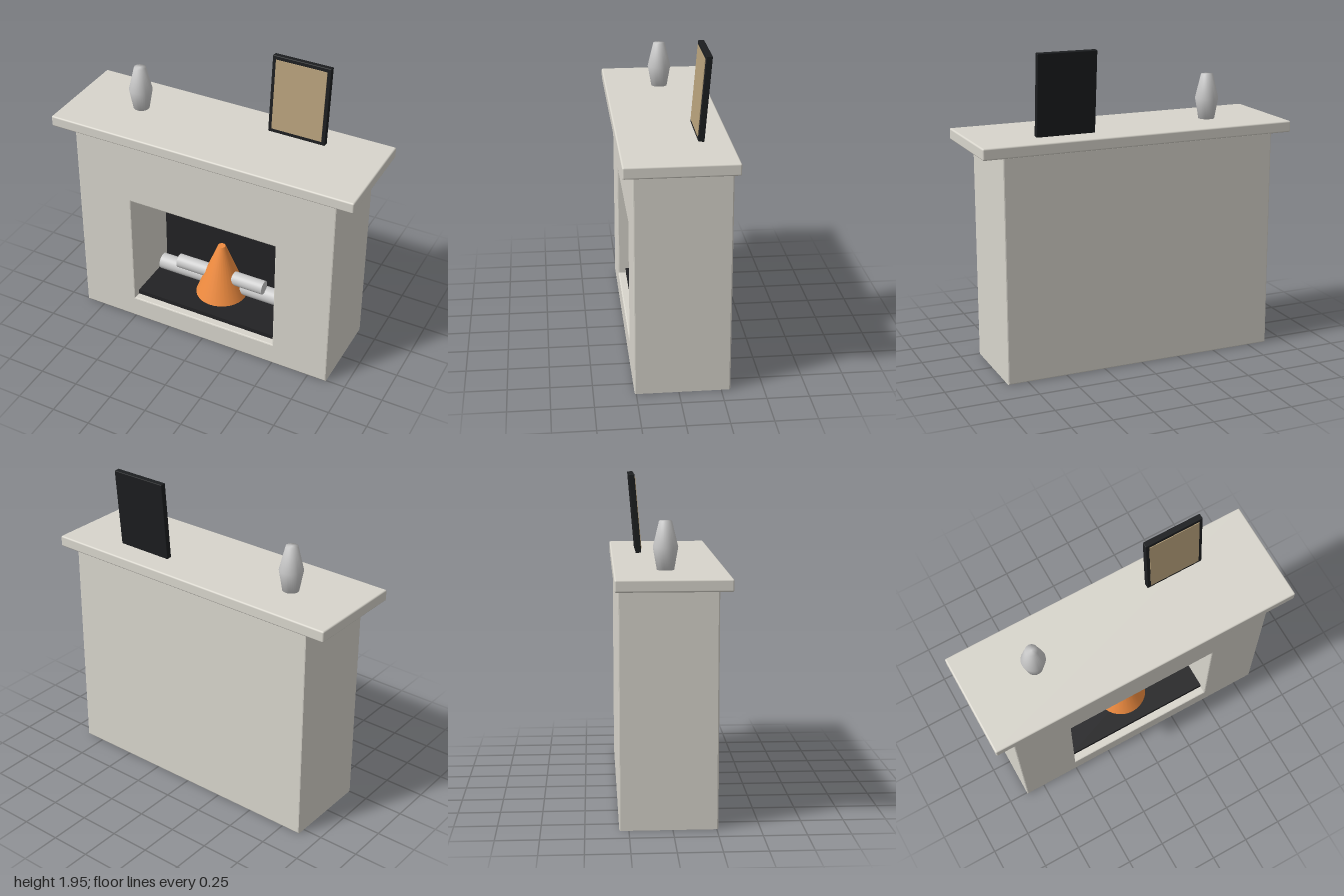
import * as THREE from 'three';
import { RoundedBoxGeometry } from 'three/addons/geometries/RoundedBoxGeometry.js';

const mat = (color) => new THREE.MeshStandardMaterial({ color });

export function createModel() {
  const group = new THREE.Group();
  const stone = mat(0xd8d5cc), grey = mat(0xcccccc), soot = mat(0x222224);
  const black = mat(0x1c1e20), canvas = mat(0xb8a27c), orange = mat(0xf08c40);

  const add = (name, geometry, material, x = 0, y = 0, z = 0, parent = group) => {
    const mesh = new THREE.Mesh(geometry, material);
    mesh.name = name;
    mesh.position.set(x, y, z);
    parent.add(mesh);
    return mesh;
  };
  const rect = (path, x, y0, y1) =>
    path.moveTo(-x, y0).lineTo(x, y0).lineTo(x, y1).lineTo(-x, y1).closePath();

  // Surround with the firebox opening, edges softly bevelled
  const b = 0.008, front = 0.26, back = -0.305, boxBack = -0.18;
  const outline = rect(new THREE.Shape(), 0.875 - b, b, 1.385 - b);
  outline.holes.push(rect(new THREE.Path(), 0.5 + b, 0.15 - b, 0.93 + b));
  add('surround', new THREE.ExtrudeGeometry(outline, {
    depth: front - back - 2 * b, bevelSize: b, bevelThickness: b, bevelSegments: 2,
  }), stone, 0, 0, back + b);

  // Rear wall closing the opening
  add('rearWall', new THREE.BoxGeometry(1 + 2 * b, 0.78 + 2 * b, boxBack - back),
    stone, 0, 0.54, (boxBack + back) / 2);

  // Firebox lining
  add('fireback', new THREE.BoxGeometry(1, 0.78, 0.01), soot, 0, 0.54, boxBack + 0.004);
  add('hearthFloor', new THREE.BoxGeometry(1, 0.03, 0.385), soot, 0, 0.166, 0.0175);

  // Mantel shelf
  add('mantelShelf', new RoundedBoxGeometry(2, 0.07, 0.65, 3, 0.01), stone, 0, 1.415, 0);

  // Stacked logs
  for (const [name, r, length, x, y, z] of [
    ['lowerLog', 0.053, 0.895, -0.0125, 0.263, -0.05],
    ['upperLog', 0.046, 0.62, 0, 0.347, -0.008],
  ]) {
    add(name, new THREE.CylinderGeometry(r, r, length, 32), grey, x, y, z).rotation.z = Math.PI / 2;
  }

  // Flame
  add('flame', new THREE.CylinderGeometry(0.025, 0.168, 0.37, 32), orange, 0, 0.39, -0.015);

  // Vase
  const profile = [[0, 0], [0.05, 0], [0.073, 0.13], [0.037, 0.28], [0, 0.28]]
    .map(([r, y]) => new THREE.Vector2(r, y));
  add('vase', new THREE.LatheGeometry(profile, 32), grey, -0.565, 1.45, -0.025);

  // Picture frame leaning backwards
  const picture = new THREE.Group();
  picture.name = 'leaningPicture';
  picture.position.set(0.436, 1.701, -0.171);
  picture.rotation.x = -0.085;
  group.add(picture);
  add('pictureFrame', new RoundedBoxGeometry(0.37, 0.498, 0.036, 2, 0.004), black, 0, 0, 0, picture);
  add('pictureCanvas', new THREE.BoxGeometry(0.325, 0.45, 0.01), canvas, 0, 0, 0.017, picture);

  return group;
}
